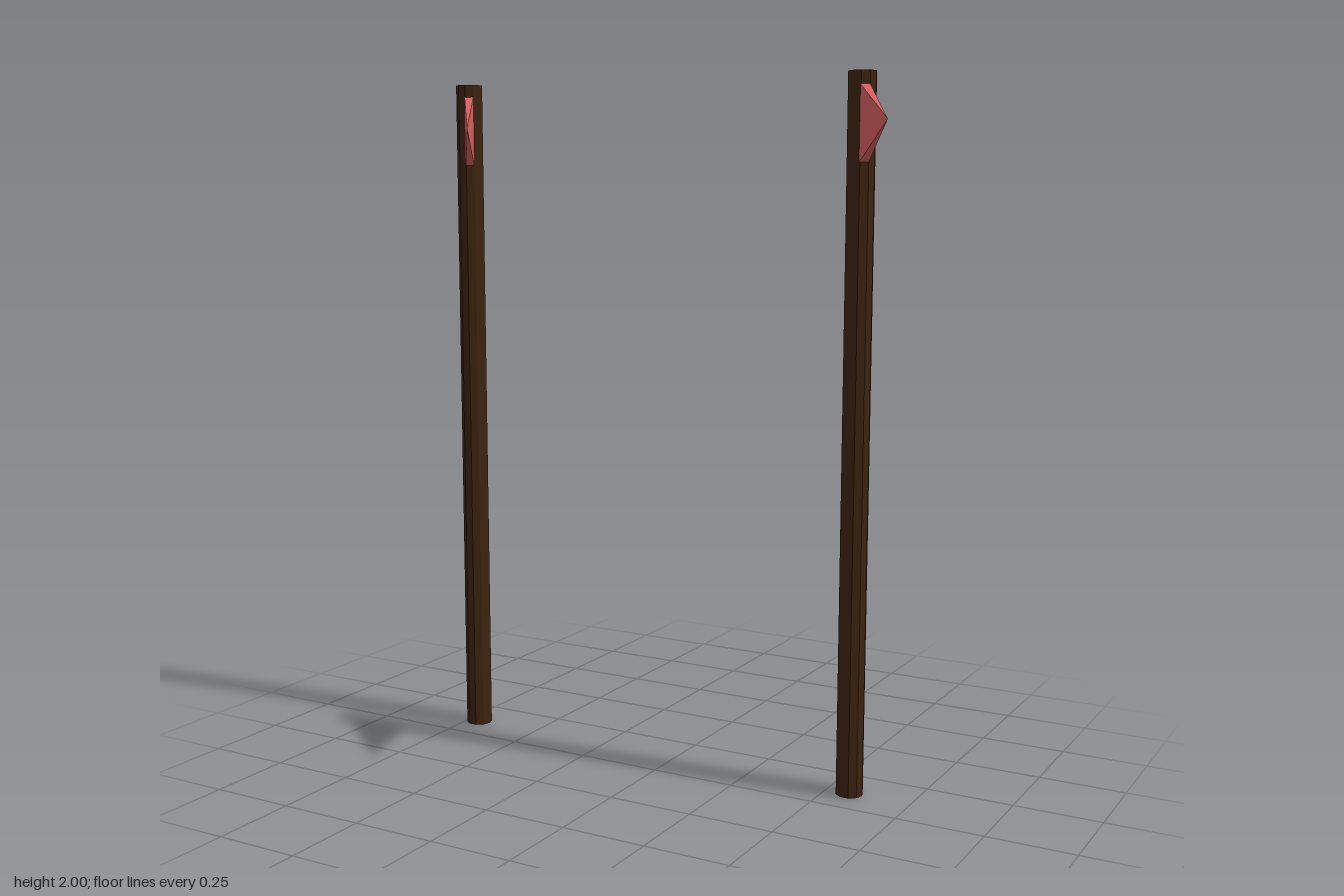
import * as THREE from 'three';

export function createModel() {
  const model = new THREE.Group();
  model.name = 'flagPoles';

  const wood = new THREE.MeshStandardMaterial({ color: 0x3e2410, flatShading: true });
  wood.name = 'darkWood';
  const cloth = new THREE.MeshStandardMaterial({ color: 0xd96060, flatShading: true });
  cloth.name = 'redCloth';

  // Ten-sided pole with corners on the x axis
  const poleGeo = new THREE.CylinderGeometry(0.039, 0.039, 2, 10);
  poleGeo.rotateY(Math.PI / 2);
  poleGeo.translate(0, 1, 0);

  // Pennant: a thin four-sided pyramid pointing away from the pole
  const start = 0.028, tip = 0.305;
  const flagGeo = new THREE.ConeGeometry(Math.SQRT2, tip - start, 4);
  flagGeo.rotateY(Math.PI / 4);
  flagGeo.rotateX(Math.PI / 2);
  flagGeo.scale(0.0135, 0.105, 1);
  flagGeo.translate(0, 1.862, (start + tip) / 2);
  flagGeo.rotateY(Math.atan2(0.173, 0.251));

  for (const [side, x] of [['right', -0.71], ['left', 0.57]]) {
    const group = new THREE.Group();
    group.name = side + 'FlagPole';
    const pole = new THREE.Mesh(poleGeo, wood);
    pole.name = side + 'Pole';
    const flag = new THREE.Mesh(flagGeo, cloth);
    flag.name = side + 'Pennant';
    group.add(pole, flag);
    group.position.set(x, 0, -0.108);
    model.add(group);
  }
  return model;
}
